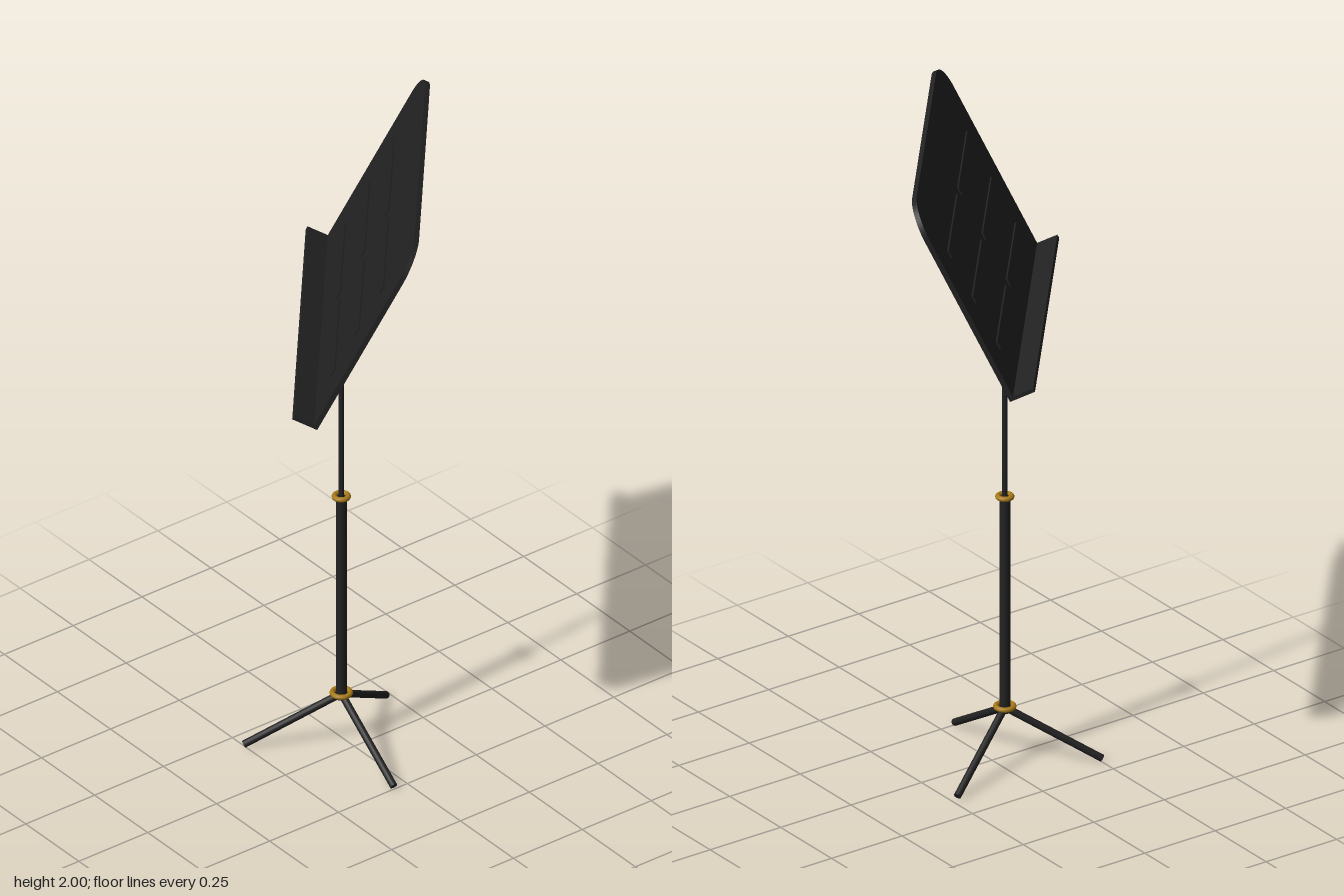
import * as THREE from 'three';

export function createModel() {
  const model = new THREE.Group();
  model.name = 'musicStand';
  const black = new THREE.MeshStandardMaterial({ color: 0x222222 });
  black.name = 'black metal';
  const brass = new THREE.MeshStandardMaterial({ color: 0xa87a18 });
  brass.name = 'brass';

  const add = (parent, name, geometry, material, x = 0, y = 0, z = 0) => {
    const mesh = new THREE.Mesh(geometry, material);
    mesh.name = name;
    mesh.position.set(x, y, z);
    parent.add(mesh);
    return mesh;
  };

  // Everything stands around the pole axis
  const stand = new THREE.Group();
  stand.name = 'stand';
  stand.position.set(-0.03, 0, 0.024);
  model.add(stand);

  // Telescopic pole
  add(stand, 'lowerTube', new THREE.CylinderGeometry(0.016, 0.016, 0.69, 24), black, 0, 0.505, 0);
  add(stand, 'upperRod', new THREE.CylinderGeometry(0.008, 0.008, 0.67, 20), black, 0, 1.175, 0);

  // Brass rings at the joints
  for (const [name, y, radius] of [['upperRing', 0.85, 0.02], ['lowerRing', 0.178, 0.026]]) {
    const ring = new THREE.TorusGeometry(radius, 0.008, 10, 32).rotateX(Math.PI / 2);
    add(stand, name, ring, brass, 0, y, 0);
  }

  // Three legs, 120 degrees apart
  const up = new THREE.Vector3(0, 1, 0);
  for (let i = 0; i < 3; i++) {
    const a = THREE.MathUtils.degToRad(5 + i * 120);
    const top = new THREE.Vector3(0, 0.175, 0);
    const foot = new THREE.Vector3(Math.cos(a) * 0.28, 0.0095, Math.sin(a) * 0.28);
    const along = foot.clone().sub(top);
    const leg = add(stand, 'leg', new THREE.CylinderGeometry(0.011, 0.011, along.length(), 16), black);
    leg.position.copy(top).add(foot).multiplyScalar(0.5);
    leg.quaternion.setFromUnitVectors(up, along.normalize());
  }

  // Desk: turned about the pole, then tilted back; origin at its lower back edge
  const turn = new THREE.Group();
  turn.name = 'deskTurn';
  turn.rotation.y = -0.695;
  stand.add(turn);
  const desk = new THREE.Group();
  desk.name = 'desk';
  desk.position.set(0, 1.4, 0.05);
  desk.rotation.x = -THREE.MathUtils.degToRad(26);
  turn.add(desk);

  // Panel with rounded top corners
  const w = 0.504, h = 0.66, r = 0.1, t = 0.015;
  const outline = new THREE.Shape();
  outline.moveTo(-w, 0);
  outline.lineTo(w, 0);
  outline.lineTo(w, h - r);
  outline.absarc(w - r, h - r, r, 0, Math.PI / 2, false);
  outline.lineTo(-w + r, h);
  outline.absarc(-w + r, h - r, r, Math.PI / 2, Math.PI, false);
  outline.closePath();
  const panel = new THREE.ExtrudeGeometry(outline, { depth: t, bevelEnabled: false, curveSegments: 16 });
  add(desk, 'panel', panel, black);

  // Ledge for the sheets
  add(desk, 'ledge', new THREE.BoxGeometry(2 * w, 0.012, 0.08), black, 0, 0.006, 0.04);

  // Raised ribs, two columns by three rows
  for (const x of [-0.206, 0.206]) {
    for (const y of [0.13, 0.29, 0.45]) {
      add(desk, 'rib', new THREE.BoxGeometry(0.37, 0.025, 0.008), black, x, y, t + 0.001);
    }
  }
  return model;
}
